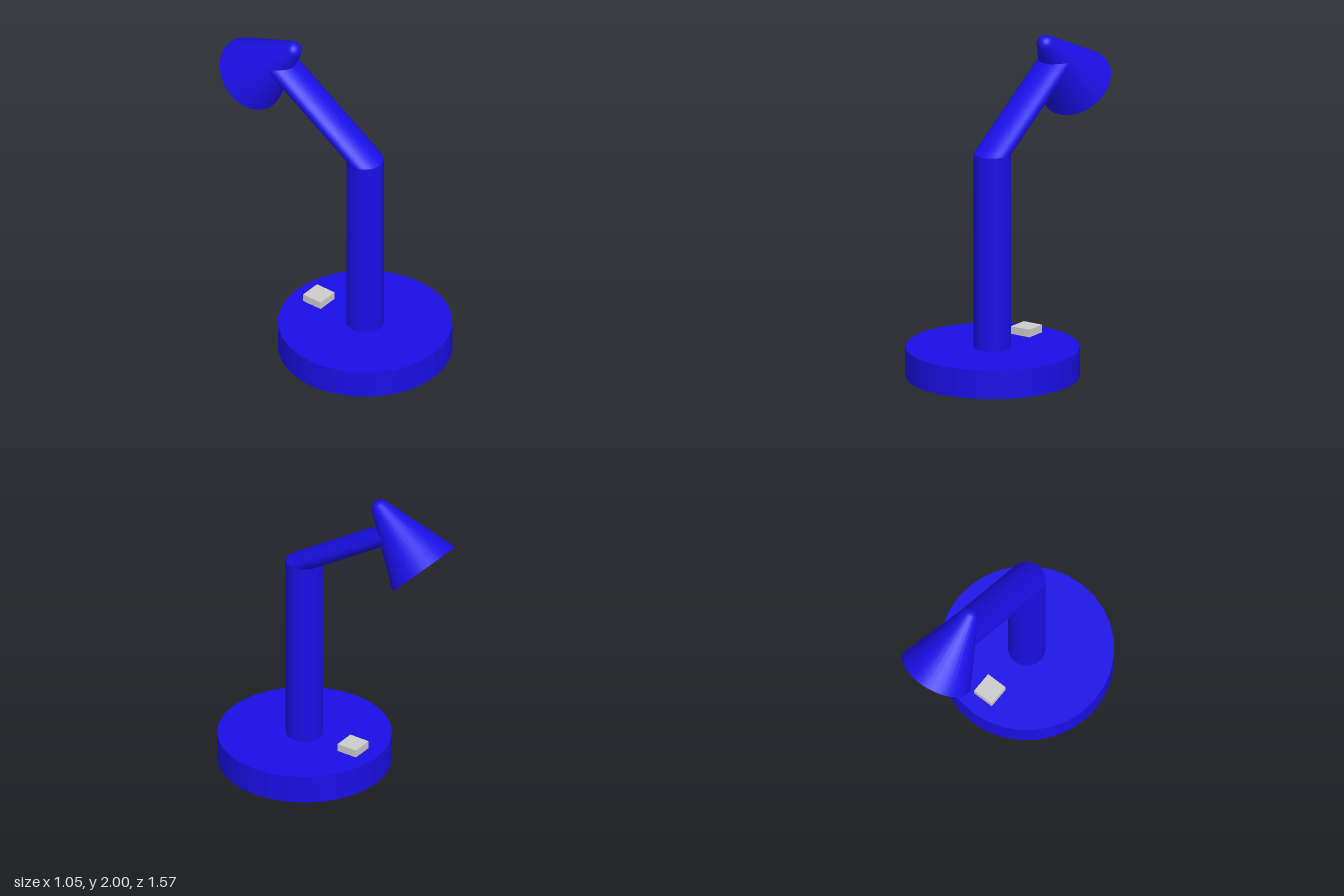
import * as THREE from 'three';

const BLUE = new THREE.MeshStandardMaterial({ color: 0x1a0fe6 });
const GREY = new THREE.MeshStandardMaterial({ color: 0xcccccc });
const SIDES = 32;
const AXIS_Z = 0.257; // centre of base and post

// Lamp head: tilted 45 degrees, measured from the centre of its rim
const RIM = new THREE.Vector3(0, 1.629, -0.618);
const RIM_R = 0.231, INNER_R = 0.195, TIP_R = 0.055, TIP_H = 0.448;
const CAVITY_H = 0.44, CAVITY_TIP_R = 0.015;

function add(parent, name, geometry, material) {
  const mesh = new THREE.Mesh(geometry, material);
  mesh.name = name;
  parent.add(mesh);
  return mesh;
}

// Is a point inside the hollow of the lamp head, or close to its wall?
function inCavity(p) {
  const dy = p.y - RIM.y, dz = p.z - RIM.z;
  const along = (dy + dz) * Math.SQRT1_2;
  const across = Math.hypot(p.x, (dy - dz) * Math.SQRT1_2);
  return across < THREE.MathUtils.lerp(INNER_R, CAVITY_TIP_R, along / CAVITY_H) + 0.022;
}

// Slanted arm: a sheared cylinder whose upper end stops in the wall of the head
function armGeometry() {
  const rise = 0.435, reach = -0.67, startY = 1.39;
  const geo = new THREE.CylinderGeometry(0.113, 0.113, rise, SIDES);
  geo.translate(0, rise / 2, 0);
  const pos = geo.attributes.position;
  const p = new THREE.Vector3();
  for (let i = 0; i < pos.count; i++) {
    p.fromBufferAttribute(pos, i);
    const isTop = p.y > rise / 2;
    p.z += AXIS_Z + (reach * p.y) / rise;
    p.y += startY;
    for (let step = 0; isTop && step < 100 && inCavity(p); step++) {
      p.y -= rise * 0.01;
      p.z -= reach * 0.01;
    }
    pos.setXYZ(i, p.x, p.y, p.z);
  }
  geo.computeVertexNormals();
  return geo;
}

// Conical head with a rounded tip, a flat rim and a hollow inside
function createHead() {
  const head = new THREE.Group();
  head.name = 'lampHead';
  const profile = [new THREE.Vector2(RIM_R, 0)];
  const tangent = 0.367;
  for (let i = 0; i <= 8; i++) {
    const a = THREE.MathUtils.lerp(tangent, Math.PI / 2, i / 8);
    profile.push(new THREE.Vector2(Math.max(0, TIP_R * Math.cos(a)), TIP_H + TIP_R * Math.sin(a)));
  }
  add(head, 'shade', new THREE.LatheGeometry(profile, SIDES), BLUE);

  const lining = [[0, CAVITY_H], [CAVITY_TIP_R, CAVITY_H], [INNER_R, 0]];
  add(head, 'shadeLining', new THREE.LatheGeometry(lining.map(([r, y]) => new THREE.Vector2(r, y)), SIDES), GREY);

  const ring = new THREE.RingGeometry(INNER_R, RIM_R, SIDES);
  ring.rotateX(Math.PI / 2);
  add(head, 'shadeRim', ring, GREY);

  head.position.copy(RIM);
  head.rotation.x = Math.PI / 4;
  return head;
}

export function createModel() {
  const lamp = new THREE.Group();
  lamp.name = 'deskLamp';

  // Round foot and upright post
  add(lamp, 'base', new THREE.CylinderGeometry(0.527, 0.527, 0.18, SIDES), BLUE).position.set(0, 0.09, AXIS_Z);
  add(lamp, 'post', new THREE.CylinderGeometry(0.113, 0.113, 1.21, SIDES), BLUE).position.set(0, 0.785, AXIS_Z);

  // Arm and head
  add(lamp, 'arm', armGeometry(), BLUE);
  lamp.add(createHead());

  // Switch on the foot, under the head
  add(lamp, 'switch', new THREE.BoxGeometry(0.135, 0.05, 0.135), GREY).position.set(0, 0.203, -0.1);

  return lamp;
}
